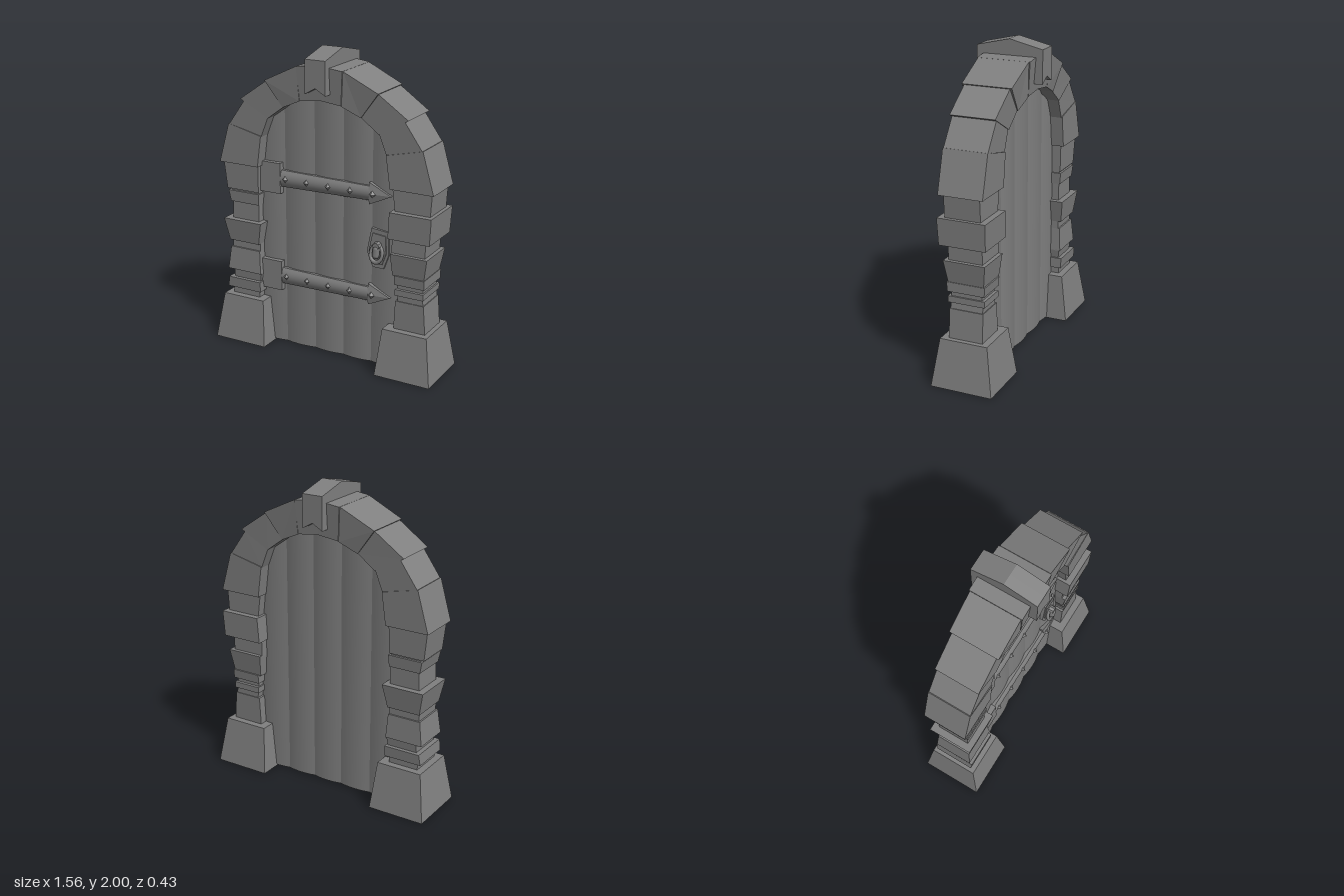
import * as THREE from 'three';

const stoneMat = new THREE.MeshStandardMaterial({ color: 0x808080, flatShading: true });
const smoothMat = new THREE.MeshStandardMaterial({ color: 0x808080 });

function add(parent, name, geometry, material = stoneMat) {
  const mesh = new THREE.Mesh(geometry, material);
  mesh.name = name;
  parent.add(mesh);
  return mesh;
}

// Convex block: counter-clockwise [x, y, half depth] corners, mirrored front to back
function block(corners, side = 1) {
  const pts = corners.map(([x, y, d]) => [x * side, y, d]);
  if (side < 0) pts.reverse();
  const pos = [];
  const front = (p) => [p[0], p[1], p[2]];
  const back = (p) => [p[0], p[1], -p[2]];
  for (let i = 1; i < pts.length - 1; i++) {
    pos.push(...front(pts[0]), ...front(pts[i]), ...front(pts[i + 1]));
    pos.push(...back(pts[0]), ...back(pts[i + 1]), ...back(pts[i]));
  }
  pts.forEach((a, i) => {
    const b = pts[(i + 1) % pts.length];
    pos.push(...front(a), ...back(a), ...back(b));
    pos.push(...front(a), ...back(b), ...front(b));
  });
  const g = new THREE.BufferGeometry();
  g.setAttribute('position', new THREE.Float32BufferAttribute(pos, 3));
  g.computeVertexNormals();
  return g;
}

// Course of a column: y range, inner/outer x and half depth at bottom, then at top
const course = ([y0, y1, in0, out0, d0, in1, out1, d1]) =>
  [[in0, y0, d0], [out0, y0, d0], [out1, y1, d1], [in1, y1, d1]];

const rightColumn = [ // model's right, -x
  [0.29, 0.36, 0.49, 0.69, 0.11, 0.49, 0.69, 0.11],
  [0.35, 0.42, 0.47, 0.72, 0.13, 0.47, 0.71, 0.135],
  [0.42, 0.48, 0.48, 0.68, 0.11, 0.47, 0.68, 0.115],
  [0.475, 0.63, 0.47, 0.72, 0.125, 0.48, 0.7, 0.115],
  [0.62, 0.69, 0.48, 0.69, 0.105, 0.48, 0.69, 0.105],
  [0.68, 0.83, 0.48, 0.7, 0.125, 0.45, 0.73, 0.145],
  [0.82, 0.95, 0.485, 0.685, 0.105, 0.485, 0.68, 0.105],
  [0.945, 1.02, 0.48, 0.69, 0.115, 0.475, 0.705, 0.12],
  [1.01, 1.04, 0.485, 0.69, 0.105, 0.485, 0.69, 0.105],
  [1.03, 1.215, 0.48, 0.715, 0.115, 0.475, 0.735, 0.12],
];
const leftColumn = [ // model's left, +x
  [0.29, 0.49, 0.49, 0.705, 0.11, 0.5, 0.69, 0.11],
  [0.49, 0.535, 0.515, 0.685, 0.105, 0.51, 0.68, 0.105],
  [0.53, 0.57, 0.5, 0.69, 0.12, 0.5, 0.69, 0.12],
  [0.565, 0.605, 0.51, 0.68, 0.1, 0.51, 0.68, 0.1],
  [0.6, 0.66, 0.495, 0.695, 0.12, 0.495, 0.695, 0.125],
  [0.655, 0.8, 0.48, 0.69, 0.115, 0.47, 0.715, 0.135],
  [0.79, 0.91, 0.47, 0.69, 0.11, 0.47, 0.695, 0.11],
  [0.9, 1.07, 0.46, 0.735, 0.15, 0.47, 0.745, 0.155],
  [1.06, 1.215, 0.49, 0.72, 0.115, 0.47, 0.73, 0.115],
];

// Half of the arch, each stone counter-clockwise on the +x side
const archStones = [
  [[0.465, 1.21, 0.142], [0.75, 1.21, 0.142], [0.675, 1.47, 0.142], [0.437, 1.415, 0.142]],
  [[0.437, 1.41, 0.135], [0.672, 1.465, 0.14], [0.555, 1.63, 0.14], [0.385, 1.54, 0.135]],
  [[0.385, 1.535, 0.14], [0.58, 1.64, 0.144], [0.385, 1.775, 0.146], [0.27, 1.62, 0.14]],
  [[0.27, 1.62, 0.145], [0.39, 1.78, 0.16], [0.16, 1.89, 0.165], [0.145, 1.675, 0.155]],
  [[0, 1.695, 0.155], [0.142, 1.678, 0.155], [0.158, 1.89, 0.172], [0, 1.91, 0.172]],
];

function archway() {
  const g = new THREE.Group();
  g.name = 'stoneArchway';
  for (const side of [1, -1]) {
    add(g, 'columnBase', block(course([0, 0.305, 0.405, 0.78, 0.2, 0.435, 0.735, 0.155]), side));
    for (const c of side > 0 ? leftColumn : rightColumn) add(g, 'columnStone', block(course(c), side));
    for (const s of archStones) add(g, 'archStone', block(s, side));
    // Half of the keystone, gabled front to back and notched below
    const profile = [[-0.215, 1.74], [0.215, 1.74], [0.215, 1.95], [0, 2], [-0.215, 1.95]];
    const shape = new THREE.Shape(profile.map(([z, y]) => new THREE.Vector2(-z, y)).reverse());
    const geo = new THREE.ExtrudeGeometry(shape, { depth: 0.07, bevelEnabled: false });
    geo.rotateY(Math.PI / 2);
    if (side < 0) geo.translate(-0.07, 0, 0);
    const p = geo.attributes.position;
    for (let i = 0; i < p.count; i++) {
      if (p.getY(i) < 1.8 && Math.abs(p.getX(i)) < 0.01) p.setY(i, 1.78);
    }
    geo.computeVertexNormals();
    add(g, 'keystone', geo);
  }
  return g;
}

// Planks bulge front and back, and their tops follow the arch
function planks() {
  const g = new THREE.Group();
  g.name = 'doorPlanks';
  const seams = [-0.53, -0.315, -0.1, 0.105, 0.305, 0.53];
  const top = (x) => Math.min(1.74, 1.74 - 2.1 * Math.max(0, Math.abs(x) - 0.31));
  for (let i = 0; i < 5; i++) {
    const w = seams[i + 1] - seams[i], mid = (seams[i + 1] + seams[i]) / 2;
    const geo = new THREE.BoxGeometry(w, 1, 2, 8, 1, 1);
    const p = geo.attributes.position;
    for (let k = 0; k < p.count; k++) {
      const u = p.getX(k) / (w / 2), x = mid + p.getX(k);
      p.setXYZ(k, x, p.getY(k) > 0 ? top(x) : 0.008, p.getZ(k) * (0.048 + 0.012 * (1 - u * u)));
    }
    geo.computeVertexNormals();
    add(g, 'plank', geo, smoothMat);
  }
  return g;
}

function hinge(y) {
  const g = new THREE.Group();
  g.name = 'hinge';
  g.position.set(0, y, 0.05);
  const mount = add(g, 'hingeMount', new THREE.BoxGeometry(0.15, 0.2, 0.07));
  mount.position.set(-0.405, 0, 0.005);
  // Rounded strap, slightly tapering towards the tip
  const geo = new THREE.BoxGeometry(0.65, 2, 1, 1, 8, 1);
  const p = geo.attributes.position;
  for (let k = 0; k < p.count; k++) {
    const v = p.getY(k), x = p.getX(k);
    p.setXYZ(k, x - 0.025, v * (x < 0 ? 0.055 : 0.045), p.getZ(k) > 0 ? 0.022 + 0.018 * (1 - v * v) : 0);
  }
  geo.computeVertexNormals();
  add(g, 'hingeStrap', geo, smoothMat);
  add(g, 'hingeTip', block([[0.295, 0, 0.04], [0.295, -0.07, 0.026], [0.445, 0, 0.026], [0.295, 0.07, 0.026]]));
  for (let i = 0; i < 5; i++) {
    const rivet = add(g, 'rivet', new THREE.OctahedronGeometry(0.023));
    rivet.position.set(-0.295 + i * 0.154, 0, 0.036);
  }
  return g;
}

function handle() {
  const g = new THREE.Group();
  g.name = 'doorHandle';
  g.position.set(0.36, 0.79, 0.055);
  g.rotation.z = -0.1;
  const plate = (s, d) => block([[-0.025, -0.125, d], [0.05, -0.12, d], [0.075, -0.02, d], [0.055, 0.125, d],
    [-0.06, 0.125, d], [-0.075, -0.03, d]].map(([x, y, z]) => [x * s, y * s, z]));
  add(g, 'handlePlate', plate(1, 0.018));
  add(g, 'handlePlateInset', plate(0.78, 0.026));
  // Hanging ring with its eye
  const ring = add(g, 'pullRing', new THREE.TorusGeometry(0.04, 0.011, 8, 16), smoothMat);
  ring.scale.y = 1.35;
  ring.position.set(0, -0.025, 0.038);
  ring.rotation.x = -0.15;
  const eye = add(g, 'ringEye', new THREE.CylinderGeometry(0.022, 0.028, 0.05, 8));
  eye.rotation.x = Math.PI / 2;
  eye.position.set(0, 0.03, 0.035);
  const grip = add(g, 'handleGrip', new THREE.CapsuleGeometry(0.024, 0.04, 4, 8), smoothMat);
  grip.position.set(0, -0.01, 0.045);
  return g;
}

export function createModel() {
  const model = new THREE.Group();
  model.name = 'archedDoor';
  model.add(archway(), planks(), hinge(1.14), hinge(0.48), handle());
  return model;
}
